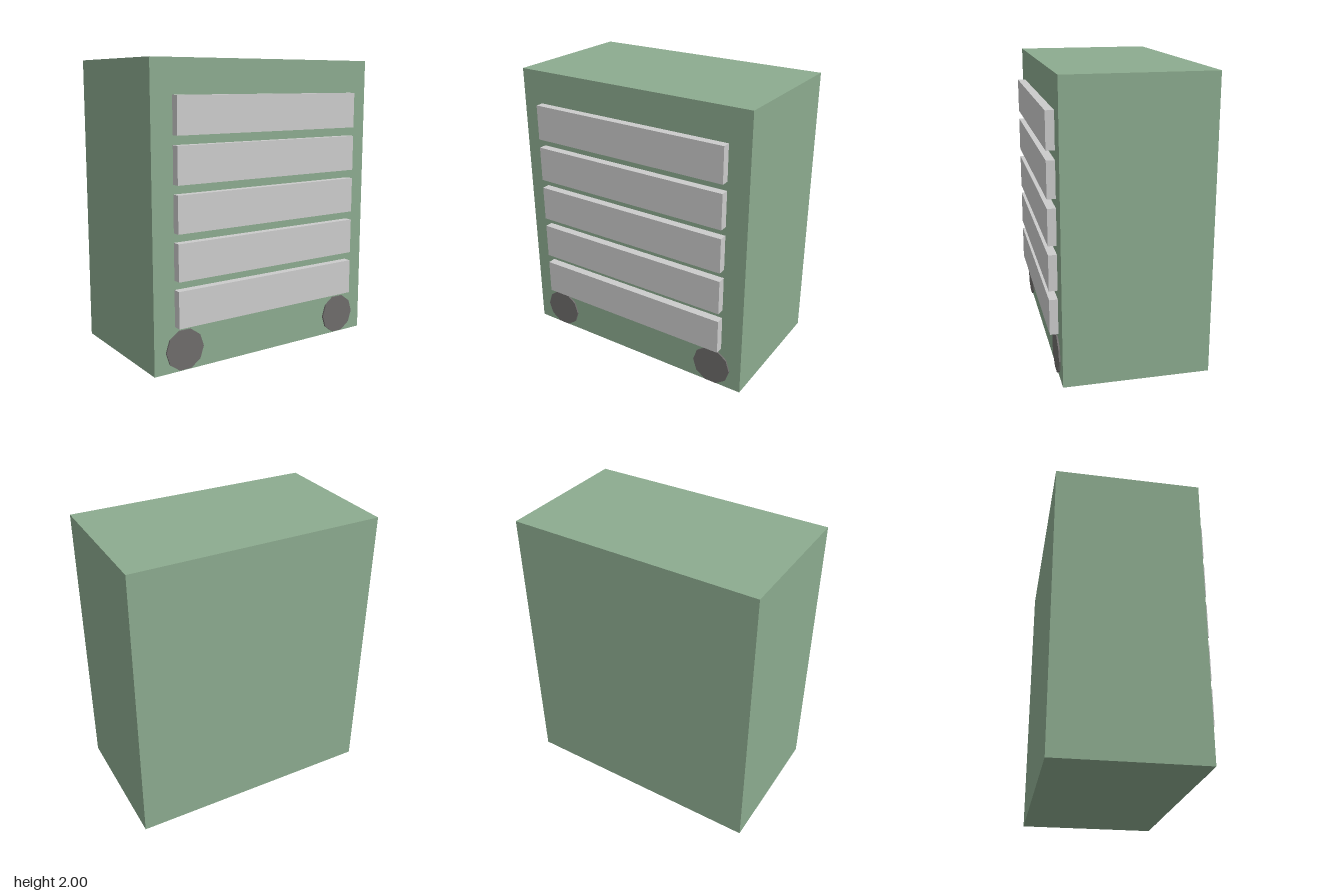
import * as THREE from 'three';

const FRONT = 0.465; // z of the cabinet's front face
const material = (color) => new THREE.MeshStandardMaterial({ color, flatShading: true });

export function createModel() {
  const group = new THREE.Group();
  const add = (name, geometry, mat, x, y, z) => {
    const mesh = new THREE.Mesh(geometry, mat);
    mesh.name = name;
    mesh.position.set(x, y, z);
    group.add(mesh);
  };

  // Cabinet body
  const depth = FRONT + 0.522;
  add('cabinet', new THREE.BoxGeometry(1.76, 2, depth), material(0x8cab8f), 0, 1, FRONT - depth / 2);

  // Five drawer fronts, set slightly into the cabinet
  const drawerGeometry = new THREE.BoxGeometry(1.456, 0.245, 0.117);
  const drawerMaterial = material(0xcccccc);
  for (let i = 0; i < 5; i++) {
    add(`drawer${i + 1}`, drawerGeometry, drawerMaterial, 0, 0.428 + i * 0.306, FRONT - 0.0015);
  }

  // Ten-sided wheels just proud of the front face
  const wheelGeometry = new THREE.CylinderGeometry(0.14, 0.14, 0.06, 10, 1, false, Math.PI / 2);
  wheelGeometry.rotateX(Math.PI / 2);
  const wheelMaterial = material(0x6e6c6b);
  for (const side of [1, -1]) {
    add(side > 0 ? 'leftWheel' : 'rightWheel', wheelGeometry, wheelMaterial, side * 0.658, 0.142, FRONT - 0.019);
  }

  return group;
}
